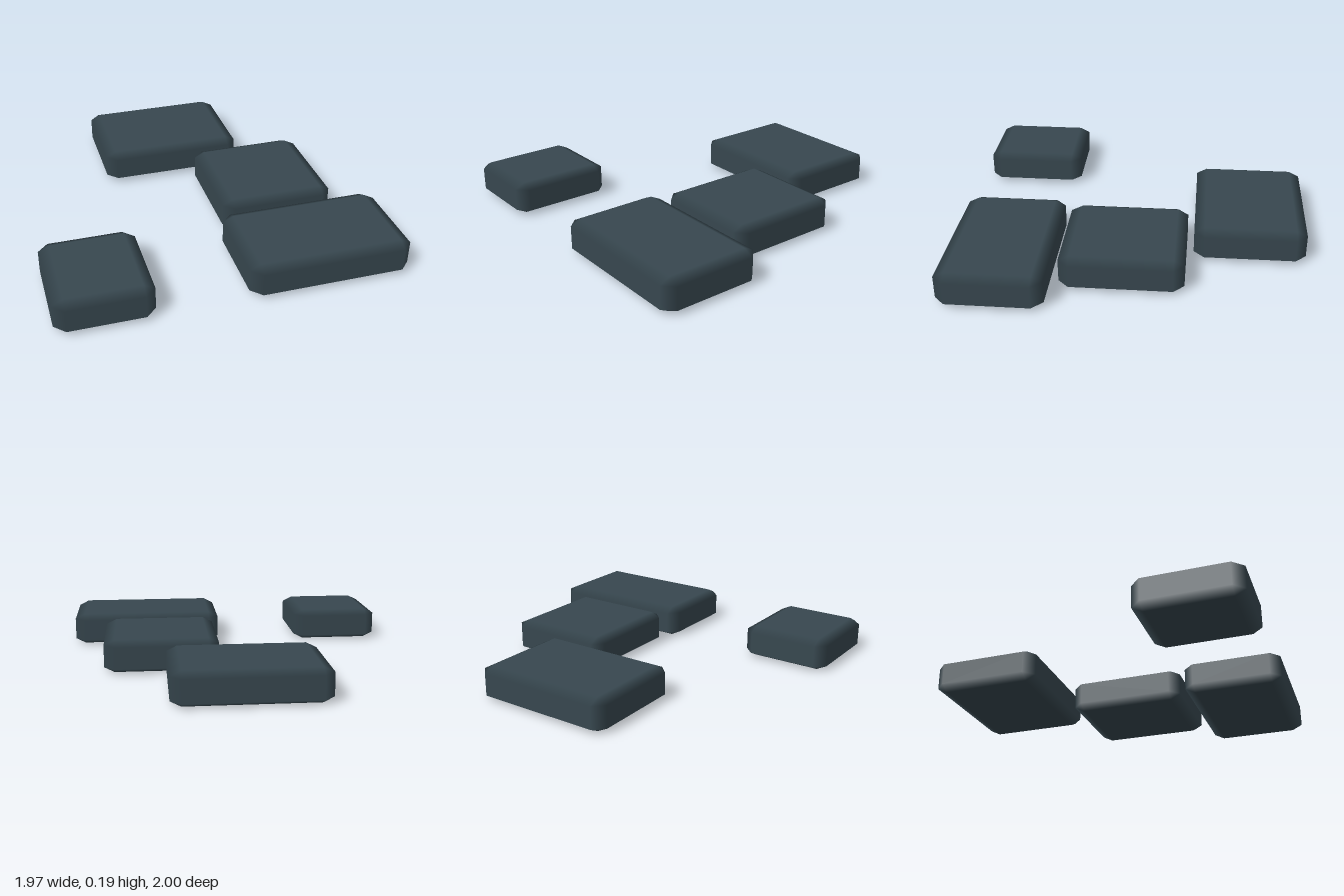
import * as THREE from 'three';
import { ConvexGeometry } from 'three/addons/geometries/ConvexGeometry.js';

const HEIGHT = 0.19;
const BEVEL = [0.06, 0.03, 0.06]; // bevel inset along x, y, z

// Box with single-step bevels whose shading blends between flat main faces
function bevelledSlab(width, depth) {
  const half = [width / 2, HEIGHT / 2, depth / 2];
  const points = [];
  for (let axis = 0; axis < 3; axis++)
    for (const sx of [-1, 1]) for (const sy of [-1, 1]) for (const sz of [-1, 1]) {
      const c = [sx, sy, sz].map((s, i) => s * (i === axis ? half[i] : half[i] - BEVEL[i]));
      points.push(new THREE.Vector3(...c));
    }
  const geometry = new ConvexGeometry(points);

  // each corner takes the direction of the main face it lies on
  const pos = geometry.attributes.position, normal = geometry.attributes.normal;
  for (let v = 0; v < pos.count; v++) {
    const p = [pos.getX(v), pos.getY(v), pos.getZ(v)];
    normal.setXYZ(v, ...p.map((c, i) => (Math.abs(c) > half[i] - 1e-4 ? Math.sign(c) : 0)));
  }
  return geometry;
}

export function createModel() {
  const group = new THREE.Group();
  group.name = 'steppingSlabs';
  const slate = new THREE.MeshStandardMaterial({ color: 0x37474f });
  slate.name = 'slate';

  // name, x from, x to, z from, z to
  const slabs = [
    ['backSlab', -0.43, 0.42, -1, -0.36],
    ['middleSlab', 0.11, 0.775, -0.32, 0.37],
    ['frontLeftSlab', 0.06, 0.985, 0.415, 1],
    ['frontRightSlab', -0.985, -0.45, 0.41, 1],
  ];
  for (const [name, x0, x1, z0, z1] of slabs) {
    const slab = new THREE.Mesh(bevelledSlab(x1 - x0, z1 - z0), slate);
    slab.name = name;
    slab.position.set((x0 + x1) / 2, HEIGHT / 2, (z0 + z1) / 2);
    group.add(slab);
  }
  return group;
}
